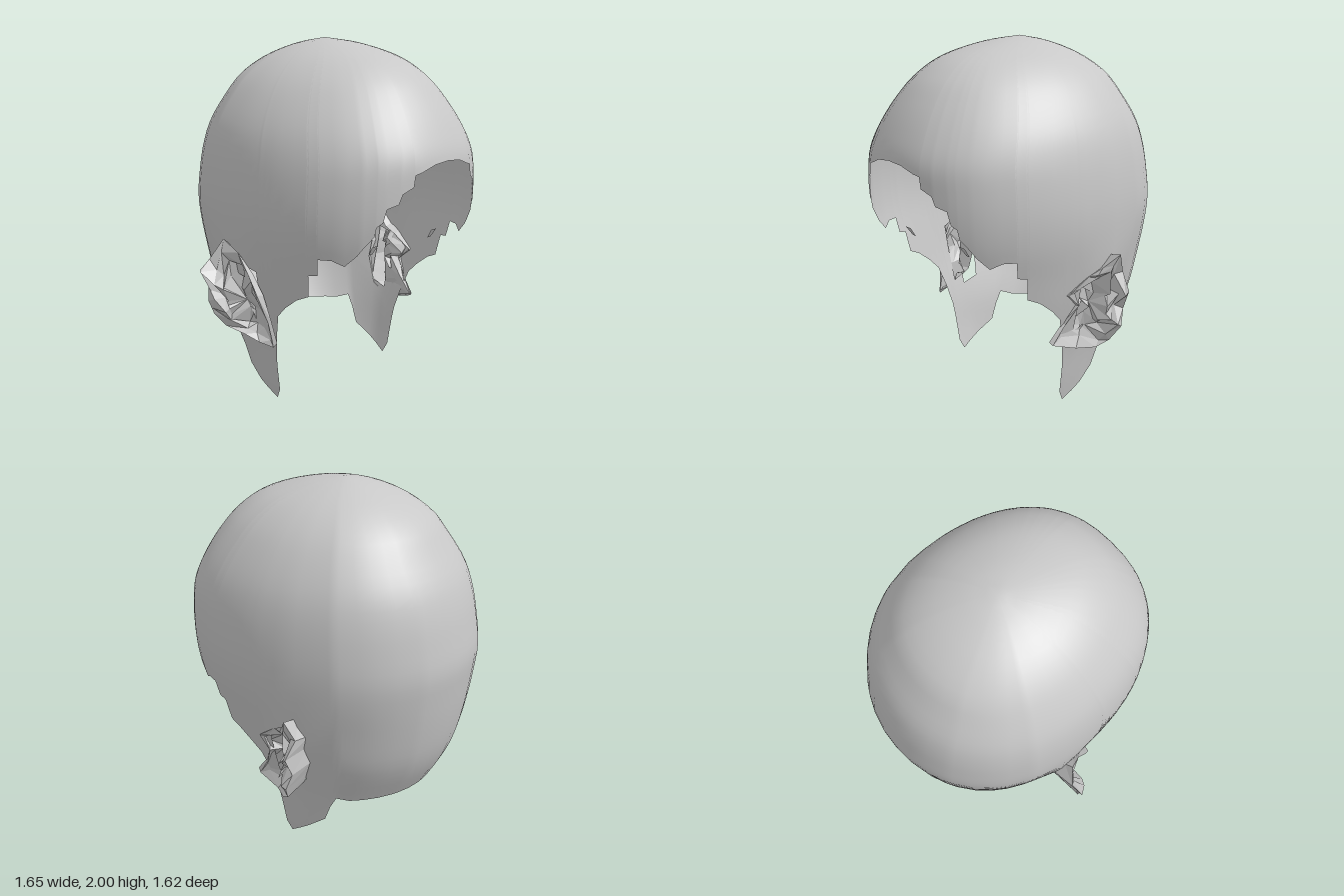
import * as THREE from 'three';
import { mergeVertices } from 'three/addons/utils/BufferGeometryUtils.js';

const POLE_Z = -0.05, SHIFT_X = 0.018;

// Shell rings from crown to neck: y, half width, front z, back z
const RINGS = [
  [2.0, 0, -0.05, -0.05], [1.97, 0.16, 0.17, -0.2], [1.9, 0.325, 0.41, -0.38],
  [1.8, 0.455, 0.565, -0.53], [1.68, 0.55, 0.67, -0.62], [1.54, 0.625, 0.755, -0.71],
  [1.4, 0.665, 0.81, -0.76], [1.25, 0.685, 0.815, -0.79], [1.1, 0.69, 0.81, -0.81],
  [0.95, 0.675, 0.79, -0.795], [0.78, 0.64, 0.74, -0.77], [0.6, 0.605, 0.68, -0.73],
  [0.45, 0.565, 0.62, -0.675], [0.3, 0.53, 0.56, -0.59], [0.15, 0.505, 0.56, -0.5],
  [0, 0.475, 0.56, -0.45],
];
const ringCurve = new THREE.CubicInterpolant(RINGS.map((_, i) => i), RINGS.flat(), 4);

// Torn lower edge of one half: brow by [x, y], side by [z, y], nape by [x, y]
const BROW = [[0, 1.39], [0.11, 1.38], [0.2, 1.35], [0.24, 1.34], [0.25, 1.28],
  [0.31, 1.25], [0.33, 1.2], [0.385, 1.18], [0.4, 1.11], [0.425, 1.09], [0.43, 1.04],
  [0.465, 0.98], [0.48, 0.94]];
const SIDE = [[0.55, 0.88], [0.5, 0.91], [0.43, 0.91], [0.42, 0.82], [0.36, 0.81],
  [0.35, 0.69], [0.28, 0.66], [0.2, 0.6], [0.14, 0.54], [0.1, 0.42], [0.07, 0.3],
  [0.06, 0.22], [0.05, 0.06], [0.02, 0], [-0.04, 0.04], [-0.1, 0.08], [-0.2, 0.15],
  [-0.24, 0.25], [-0.28, 0.32], [-0.34, 0.3], [-0.4, 0.3], [-0.46, 0.3], [-0.51, 0.3]];
const NAPE = [[0.22, 0.3], [0.15, 0.3], [0.07, 0.3], [0, 0.3]];

// Ear rims [x, y, z], from the lobe up the back edge and down the front
const LEFT_RIM = [
  [0.58, 0.39, 0.17], [0.61, 0.35, 0.03], [0.68, 0.36, -0.05], [0.72, 0.4, -0.11],
  [0.78, 0.49, -0.14], [0.76, 0.58, -0.17], [0.81, 0.69, -0.16], [0.74, 0.78, -0.18],
  [0.77, 0.89, -0.13], [0.7, 0.81, -0.07], [0.67, 0.77, 0.0], [0.64, 0.68, 0.12],
  [0.65, 0.61, 0.05], [0.6, 0.5, 0.1],
];
const RIGHT_RIM = [
  [0.58, 0.36, 0.12], [0.61, 0.38, 0.04], [0.65, 0.42, -0.03], [0.72, 0.47, -0.1],
  [0.78, 0.55, -0.13], [0.8, 0.62, -0.15], [0.79, 0.7, -0.16], [0.83, 0.8, -0.17],
  [0.76, 0.84, -0.18], [0.7, 0.95, -0.13], [0.67, 0.88, -0.05], [0.67, 0.78, 0.02],
  [0.65, 0.66, 0.07], [0.6, 0.5, 0.1],
];

const ringAt = (t) => Array.from(ringCurve.evaluate(t));

function ringIndex(y) {
  let low = 0, high = RINGS.length - 1;
  for (let i = 0; i < 30; i++) {
    const middle = (low + high) / 2;
    if (ringAt(middle)[0] > y) low = middle;
    else high = middle;
  }
  return high;
}

// Ring squareness: fuller at the brow, rounder at the crown and nape
function power(y, isFront) {
  const { smoothstep } = THREE.MathUtils;
  return isFront ? 2.42 - 0.3 * smoothstep(y, 1.2, 1.85) : 1.85 + 0.25 * smoothstep(y, 0.2, 0.6);
}

// Angle around the head, 0 at the front and PI at the back
function angleFromX(x, y, isFront) {
  return Math.asin(Math.pow(x / ringAt(ringIndex(y))[1], power(y, isFront) / 2));
}

function angleFromZ(z, y) {
  const [, , front, back] = ringAt(ringIndex(y));
  const d = z - POLE_Z;
  const depth = d > 0 ? front - POLE_Z : POLE_Z - back;
  return Math.acos(Math.sign(d) * Math.pow(Math.abs(d) / depth, power(y, d > 0) / 2));
}

function shellPoint(angle, t) {
  const [y, width, front, back] = ringAt(t);
  const s = Math.sin(angle), c = Math.cos(angle), e = 2 / power(y, c > 0);
  const depth = c > 0 ? front - POLE_Z : POLE_Z - back;
  const z = POLE_Z + depth * Math.sign(c) * Math.pow(Math.abs(c), e);
  // Skin swells slightly toward the ear
  const swell = 0.03 * Math.exp(-((y - 0.76) ** 2) / 0.03 - (z + 0.12) ** 2 / 0.015);
  const x = width * Math.pow(Math.abs(s), e) + swell * Math.abs(s);
  return [SHIFT_X + Math.sign(s) * x, y, z];
}

// Closed loop of point columns made into a surface, leaving out cells where isHole is true
function gridGeometry(columns, isHole) {
  const rows = columns[0].length, n = columns.length, index = [];
  for (let i = 0; i < n; i++) {
    const next = (i + 1) % n;
    for (let j = 0; j < rows - 1; j++) {
      if (isHole(columns[i][j], columns[next][j + 1])) continue;
      const a = i * rows + j, b = next * rows + j;
      index.push(a, a + 1, b, b, a + 1, b + 1);
    }
  }
  const geometry = new THREE.BufferGeometry();
  geometry.setAttribute('position', new THREE.Float32BufferAttribute(columns.flat(2), 3));
  geometry.setIndex(index);
  const merged = mergeVertices(geometry, 1e-4);
  merged.computeVertexNormals();
  return merged;
}

function shellGeometry() {
  const half = [
    ...BROW.map(([x, y]) => [angleFromX(x, y, true), y]),
    ...SIDE.map(([z, y]) => [angleFromZ(z, y), y]),
    ...NAPE.map(([x, y]) => [Math.PI - angleFromX(x, y, false), y]),
  ];
  const mirrored = half.slice(1, -1).reverse().map(([a, y]) => [-a, y]);
  const rows = 36;
  const columns = [...half, ...mirrored].map(([angle, y]) => {
    const end = ringIndex(y);
    return Array.from({ length: rows + 1 }, (_, j) => shellPoint(angle, (end * j) / rows));
  });
  // Open behind each ear
  return gridGeometry(columns, (p, q) => {
    const y = (p[1] + q[1]) / 2, z = (p[2] + q[2]) / 2;
    return Math.abs(p[0]) > 0.4 && Math.hypot((y - 0.6) / 0.2, (z + 0.06) / 0.1) < 1;
  });
}

// Crumpled ear: attachment, rim, folded inner rings and hollow
function earGeometry(rim, startSeed) {
  let seed = startSeed;
  const jitter = (size) => {
    seed = (seed * 16807) % 2147483647;
    return (seed / 2147483647 - 0.5) * size;
  };
  const center = [0.6, 0.6, -0.06];
  // Scale toward the centre in y and z, push in x, noise
  const rings = [[1, 0, 0], [0.8, -0.01, 0.05], [0.6, -0.06, 0.07], [0.35, -0.05, 0.07]];
  const columns = rim.map(([x, y, z]) => [
    [0.51 + 0.15 * y, 0.6 + (y - 0.6) * 0.9, z * 1.1],
    ...rings.map(([k, push, noise]) => [
      Math.max(0.57, x + push + jitter(noise)),
      center[1] + (y - center[1]) * k + jitter(noise),
      center[2] + (z - center[2]) * k + jitter(noise),
    ]),
    center,
  ]);
  return gridGeometry(columns, () => false);
}

export function createModel() {
  const model = new THREE.Group();
  const grey = new THREE.MeshStandardMaterial({ color: 0xc8c8c8, side: THREE.DoubleSide });
  grey.name = 'plain grey';
  const creased = grey.clone();
  creased.flatShading = true;
  creased.name = 'plain grey creased';

  const add = (name, geometry, material) => {
    const mesh = new THREE.Mesh(geometry, material);
    mesh.name = name;
    model.add(mesh);
    return mesh;
  };

  add('headShell', shellGeometry(), grey);

  // Small loose flake behind each side of the brow
  const flake = new THREE.ShapeGeometry(new THREE.Shape([
    new THREE.Vector2(-0.01, -0.035), new THREE.Vector2(0.02, -0.035),
    new THREE.Vector2(0.025, 0.03), new THREE.Vector2(-0.025, 0.03),
  ]));
  for (const [side, name, rim] of [[1, 'left', LEFT_RIM], [-1, 'right', RIGHT_RIM]]) {
    add(name + 'Ear', earGeometry(rim, 9 + side), creased).scale.x = side;
    const flakeMesh = add(name + 'Flake', flake, grey);
    flakeMesh.position.set(side * 0.262 + SHIFT_X, 0.912, 0.53);
    flakeMesh.rotation.x = 0.6;
  }
  return model;
}
